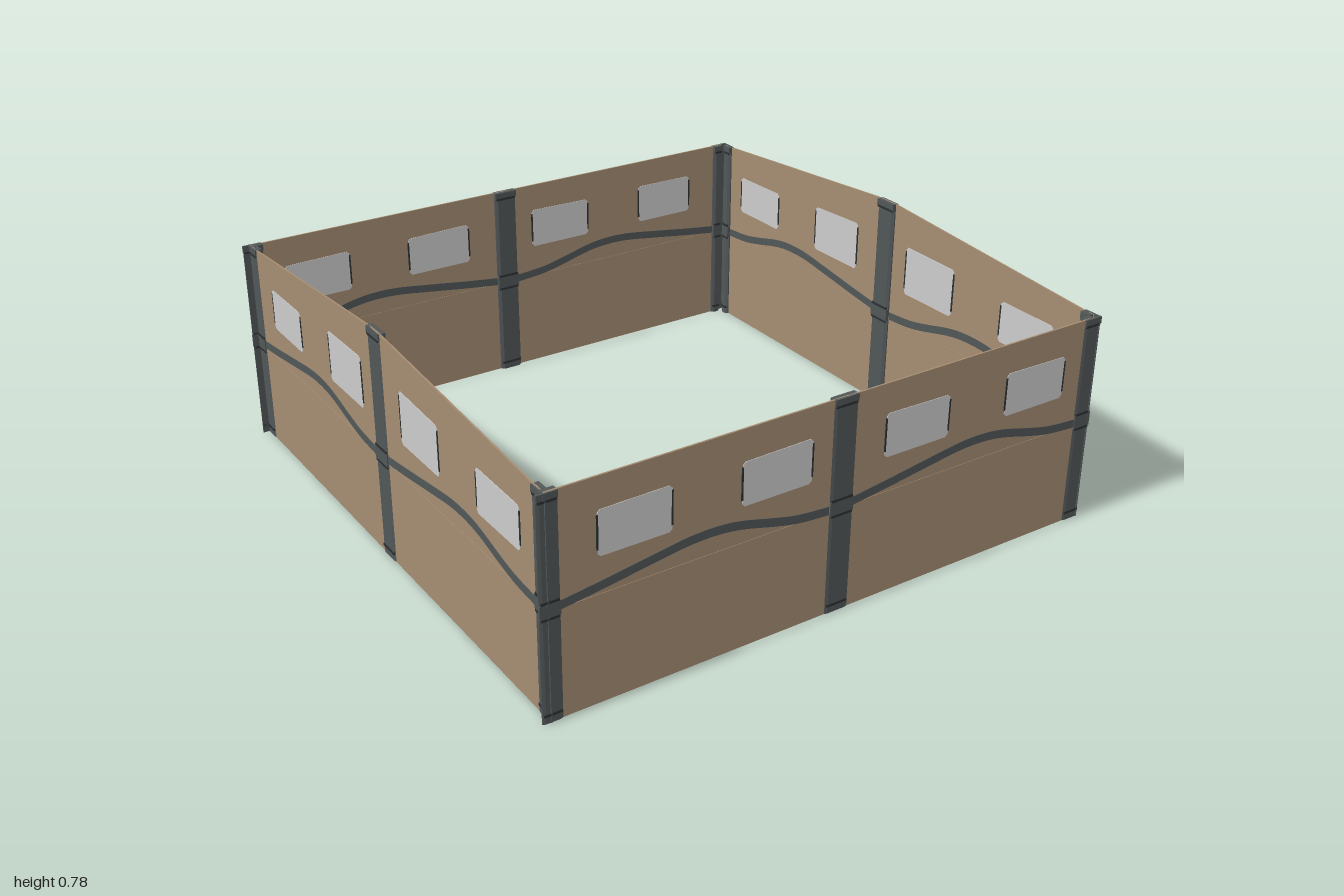
import * as THREE from 'three';

const mat = (name, color) => {
  const m = new THREE.MeshStandardMaterial({ color });
  m.name = name;
  return m;
};

export function createModel() {
  const tan = mat('tan panel', 0xa58c71);
  const steel = mat('dark steel', 0x515658);
  const seam = mat('seam black', 0x2c3032);
  const pane = mat('pale pane', 0xcbcbcb);

  const add = (parent, name, geometry, material, x = 0, y = 0, z = 0) => {
    const mesh = new THREE.Mesh(geometry, material);
    mesh.name = name;
    mesh.position.set(x, y, z);
    parent.add(mesh);
    return mesh;
  };
  const box = (parent, name, material, x0, x1, y0, y1, z0, z1) =>
    add(parent, name, new THREE.BoxGeometry(x1 - x0, y1 - y0, z1 - z0), material,
      (x0 + x1) / 2, (y0 + y1) / 2, (z0 + z1) / 2);
  // Flat outline given depth, centred on the wall plane
  const plate = (parent, name, material, points, depth) => {
    const shape = new THREE.Shape(points.map(p => new THREE.Vector2(p[0], p[1])));
    return add(parent, name, new THREE.ExtrudeGeometry(shape, { depth, bevelEnabled: false }),
      material, 0, 0, -depth / 2);
  };

  // Upright with chamfered edges, standing proud of both wall faces
  const post = (parent, name, x0, x1, in0, in1, height) => {
    const g = new THREE.Group();
    g.name = name;
    const half = (a, b, d, sign) => {
      const c = 0.01;
      const s = new THREE.Shape([[a, 0], [b, 0], [b, d * 0.5], [b - c, d], [a + c, d], [a, d * 0.5]]
        .map(p => new THREE.Vector2(p[0], -sign * p[1])));
      const geo = new THREE.ExtrudeGeometry(s, { depth: height, bevelEnabled: false });
      geo.rotateX(-Math.PI / 2);
      add(g, 'upright', geo, steel);
    };
    half(x0, x1, 0.006, 1);
    half(in0, in1, 0.015, -1);
    // Middle collar, top cap and dark joint lines
    for (const [a, b] of [[0.335, 0.38], [height - 0.022, height]]) {
      box(g, 'collar', steel, x0, x1, a, b, 0, 0.008);
      box(g, 'collar', steel, in0, in1, a, b, -0.017, 0);
    }
    for (const y of [0.027, 0.332, 0.383, height - 0.024]) {
      box(g, 'joint', seam, x0 + 0.004, x1 - 0.004, y - 0.004, y + 0.004, 0, 0.0085);
      box(g, 'joint', seam, in0 + 0.004, in1 - 0.004, y - 0.004, y + 0.004, -0.0175, 0);
    }
    parent.add(g);
  };

  // Wavy stripe for one half of a wall
  const stripe = (parent, start) => {
    const curve = new THREE.SplineCurve([[0, 0.36], [0.13, 0.377], [0.28, 0.399], [0.42, 0.418],
      [0.52, 0.419], [0.6, 0.408], [0.7, 0.383], [0.79, 0.364], [0.9, 0.355]]
      .map(p => new THREE.Vector2(start + p[0], p[1])));
    const line = curve.getPoints(40);
    const top = line.map(p => [p.x, p.y + 0.014]);
    const bottom = line.map(p => [p.x, p.y - 0.014]).reverse();
    plate(parent, 'waveStripe', steel, [...bottom.reverse(), ...top.reverse()], 0.0095);
  };

  // Pane with clipped corners and slim dark edges
  const windowPane = (parent, x0, x1, topL, topR) => {
    const y0 = 0.468, c = 0.009;
    plate(parent, 'windowPane', pane, [[x0 + c, y0], [x1 - c, y0], [x1, y0 + c], [x1, topR - c],
      [x1 - c, topR], [x0 + c, topL], [x0, topL - c], [x0, y0 + c]], 0.0095);
    for (const [x, t] of [[x0, topL], [x1, topR]]) {
      plate(parent, 'windowEdge', seam, [[x - 0.003, y0 + 0.02], [x + 0.003, y0 + 0.02],
        [x + 0.003, t - 0.015], [x - 0.003, t - 0.015]], 0.0098);
    }
  };

  // One wall, outer face toward +z; gabled walls rise to the middle
  const makeWall = (name, gabled) => {
    const g = new THREE.Group();
    g.name = name;
    const e = 0.71, peak = gabled ? 0.778 : e, end = 0.975;
    plate(g, 'panel', tan, [[-end, 0], [end, 0], [end, e], [0.935, e], [0.04, peak],
      [-0.04, peak], [-0.935, e], [-end, e]], 0.006);
    box(g, 'ledge', tan, -0.935, 0.935, 0.346, 0.352, -0.0045, 0.0045);
    stripe(g, -0.945);
    stripe(g, 0.035);
    const rise = gabled ? 0.032 : 0;
    windowPane(g, -0.82, -0.585, 0.61, 0.612);
    windowPane(g, -0.355, -0.113, 0.608 + rise, 0.612 + rise);
    windowPane(g, 0.153, 0.395, 0.612 + rise, 0.608 + rise - rise * 0.2);
    windowPane(g, 0.622, 0.863, 0.612, 0.608);
    post(g, 'middlePost', -0.042, 0.042, -0.042, 0.042, peak);
    post(g, 'leftEndPost', 0.935, 1, 0.935, 0.973, e);
    post(g, 'rightEndPost', -1, -0.935, -0.973, -0.935, e);
    return g;
  };

  const model = new THREE.Group();
  model.name = 'walledEnclosure';
  for (const [name, gabled, turn, x, z] of [
    ['frontWall', false, 0, 0, 0.991],
    ['rightGableWall', true, Math.PI / 2, 0.991, 0],
    ['backWall', false, Math.PI, 0, -0.992],
    ['leftGableWall', true, -Math.PI / 2, -0.972, 0],
  ]) {
    const wall = makeWall(name, gabled);
    wall.rotation.y = turn;
    wall.position.set(x, 0, z);
    model.add(wall);
  }
  model.getObjectByName('rightGableWall').name = 'leftGableWall';
  model.children[3].name = 'rightGableWall';
  return model;
}
